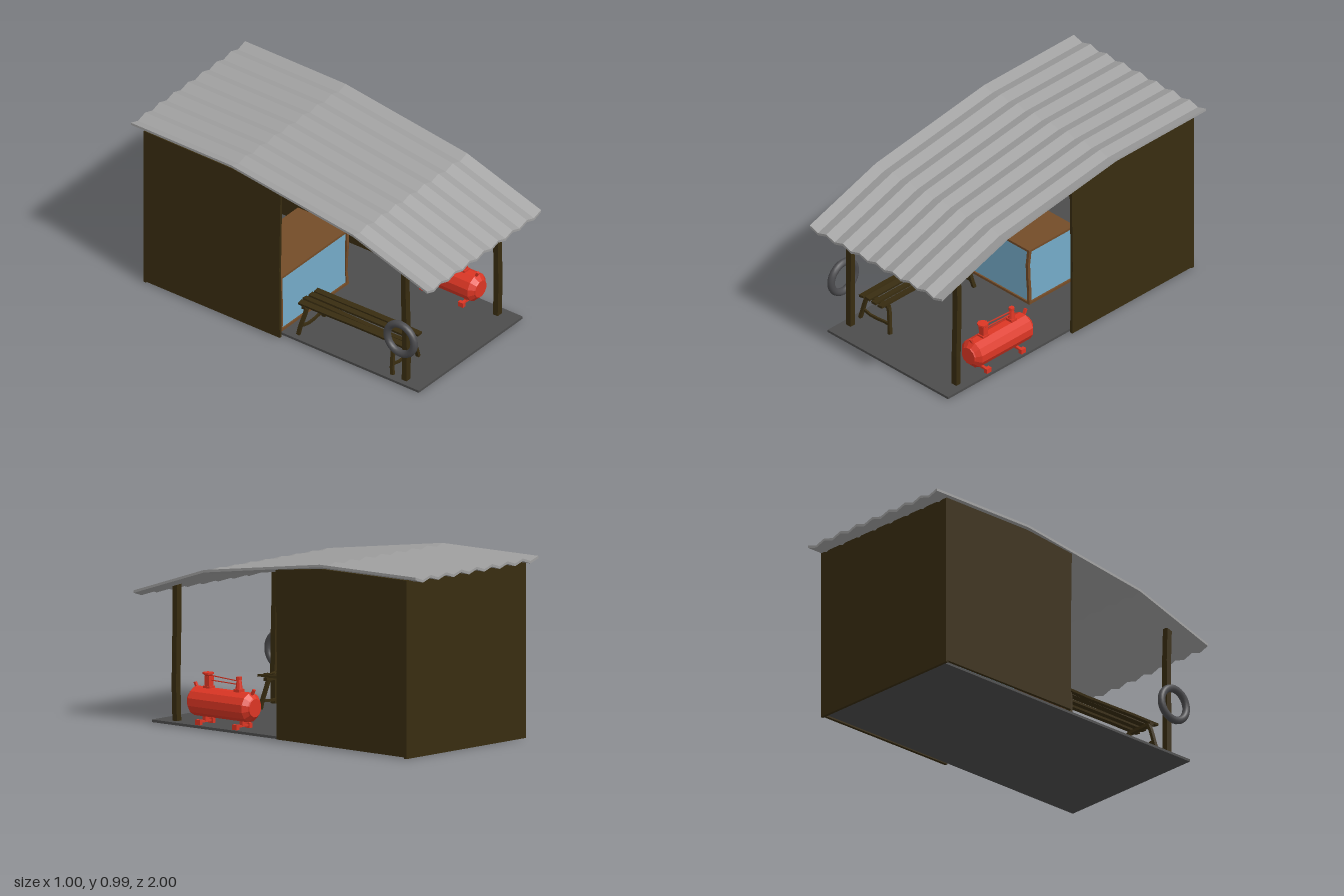
import * as THREE from 'three';

const mat = (name, color, flatShading = true) => {
  const m = new THREE.MeshStandardMaterial({ color, flatShading });
  m.name = name;
  return m;
};

export function createModel() {
  const root = new THREE.Group();
  root.name = 'roadsideShed';
  const metal = mat('corrugatedMetal', 0xa0a0a0);
  const concrete = mat('concrete', 0x4c4c4c);
  const darkWood = mat('darkWood', 0x382c10);
  const brownWood = mat('brownWood', 0x744c28);
  const glass = mat('glass', 0x74abc8);
  const red = mat('redPaint', 0xdc3624);
  const rubber = mat('rubber', 0x4b4b4e, false);

  const add = (name, geo, material, x = 0, y = 0, z = 0, parent = root) => {
    const m = new THREE.Mesh(geo, material);
    m.name = name;
    m.position.set(x, y, z);
    parent.add(m);
    return m;
  };
  // Box given by its limits on each axis
  const box = (name, material, [x0, x1], [y0, y1], [z0, z1], parent = root) =>
    add(name, new THREE.BoxGeometry(x1 - x0, y1 - y0, z1 - z0), material,
      (x0 + x1) / 2, (y0 + y1) / 2, (z0 + z1) / 2, parent);
  // Rough-hewn beam from a to b; the middle rings drift sideways by "wobble"
  const beam = (name, material, a, b, w, d, wobble = 0, parent = root) => {
    const A = new THREE.Vector3(...a), B = new THREE.Vector3(...b);
    const len = A.distanceTo(B);
    const geo = new THREE.BoxGeometry(w, len, d, 1, wobble ? 4 : 1, 1);
    const p = geo.attributes.position;
    for (let i = 0; i < p.count; i++) {
      const t = p.getY(i) / len + 0.5;
      p.setX(i, p.getX(i) + wobble * Math.sin(t * Math.PI));
      p.setZ(i, p.getZ(i) + wobble * 0.6 * Math.sin(t * Math.PI * 2));
    }
    const m = add(name, geo, material, 0, 0, 0, parent);
    m.position.copy(A).add(B).multiplyScalar(0.5);
    m.quaternion.setFromUnitVectors(new THREE.Vector3(0, 1, 0), B.sub(A).normalize());
    return m;
  };
  const group = (name) => {
    const g = new THREE.Group();
    g.name = name;
    root.add(g);
    return g;
  };

  // Corrugated roof: a zigzag slab section swept along four stations
  const stations = [[1, 0.718], [0.5, 0.88], [-0.32, 0.993], [-1, 0.993]];
  const folds = 16, thick = 0.014, tri = [];
  const pt = (s, i, low) => [-0.5 + i / folds,
    stations[s][1] - (i % 2 ? 0.02 : 0) - (low ? thick : 0), stations[s][0]];
  const quad = (a, b, c, d) => tri.push(...a, ...b, ...c, ...a, ...c, ...d);
  for (let s = 0; s < 3; s++) {
    for (let i = 0; i < folds; i++) {
      quad(pt(s, i), pt(s, i + 1), pt(s + 1, i + 1), pt(s + 1, i));
      quad(pt(s, i, 1), pt(s + 1, i, 1), pt(s + 1, i + 1, 1), pt(s, i + 1, 1));
    }
    quad(pt(s, 0, 1), pt(s, 0), pt(s + 1, 0), pt(s + 1, 0, 1));
    quad(pt(s, folds, 1), pt(s + 1, folds, 1), pt(s + 1, folds), pt(s, folds));
  }
  for (let i = 0; i < folds; i++) {
    quad(pt(0, i, 1), pt(0, i + 1, 1), pt(0, i + 1), pt(0, i));
    quad(pt(3, i, 1), pt(3, i), pt(3, i + 1), pt(3, i + 1, 1));
  }
  const roofGeo = new THREE.BufferGeometry();
  roofGeo.setAttribute('position', new THREE.Float32BufferAttribute(tri, 3));
  roofGeo.computeVertexNormals();
  add('roof', roofGeo, metal);

  // Floor slab and walls
  box('floor', concrete, [-0.455, 0.455], [0.008, 0.022], [-0.905, 0.91]);
  const side = new THREE.Shape();
  [[0, 0.012], [0.92, 0.008], [0.92, 0.967], [0.32, 0.967], [-0.004, 0.932], [0.004, 0.45]]
    .forEach(([x, y], i) => (i ? side.lineTo(x, y) : side.moveTo(x, y)));
  for (const [x, name] of [[-0.492, 'rightWall'], [0.47, 'leftWall']]) {
    const geo = new THREE.ExtrudeGeometry(side, { depth: 0.016, bevelEnabled: false });
    geo.rotateY(Math.PI / 2);
    add(name, geo, darkWood, x);
  }
  box('backWall', darkWood, [-0.49, 0.484], [0, 0.966], [-0.922, -0.906]);

  // Front posts
  beam('rightPost', darkWood, [-0.406, 0.02, 0.787], [-0.412, 0.765, 0.785], 0.036, 0.032, 0.004);
  beam('leftPost', darkWood, [0.393, 0.02, 0.787], [0.393, 0.765, 0.785], 0.036, 0.032, 0.005);

  // Tyre hanging beside the post
  const tyre = new THREE.TorusGeometry(0.091, 0.021, 12, 28);
  tyre.rotateY(Math.PI / 2);
  add('tyre', tyre, rubber, -0.457, 0.307, 0.79);

  // Display case: glass box in a rough wooden frame
  const shop = group('displayCase');
  box('glassPanes', glass, [-0.45, 0.13], [0.022, 0.362], [-0.355, -0.03], shop);
  box('caseTop', brownWood, [-0.46, 0.14], [0.358, 0.371], [-0.365, -0.02], shop);
  for (const z of [-0.356, -0.029]) {
    box('bottomRail', brownWood, [-0.46, 0.14], [0.022, 0.036], [z - 0.008, z + 0.008], shop);
    for (const [x, wob] of [[-0.45, 0.003], [0.132, -0.008]])
      beam('casePost', brownWood, [x, 0.022, z], [x, 0.36, z], 0.017, 0.017, wob, shop);
  }
  for (const x of [-0.452, 0.132])
    box('sideRail', brownWood, [x - 0.008, x + 0.008], [0.022, 0.036], [-0.356, -0.029], shop);

  // Bench: uneven slats on two splayed trestles
  const bench = group('bench');
  for (let i = 0; i < 4; i++) {
    const x = -0.372 + i * 0.047, tilt = [0.004, -0.003, 0.002, 0.003][i];
    beam('slat', darkWood, [x, 0.199, 0.04 + tilt], [x + tilt, 0.199, 0.74 + tilt],
      0.034, 0.013, tilt, bench).rotateY(tilt * 40);
  }
  for (const [z, out] of [[0.69, 0.012], [0.08, -0.014]]) {
    box('crossBeam', darkWood, [-0.39, -0.215], [0.174, 0.192], [z - 0.012, z + 0.012], bench);
    beam('innerLeg', darkWood, [-0.19, 0.022, z + out], [-0.227, 0.18, z - out], 0.017, 0.02, 0.003, bench);
    beam('outerLeg', darkWood, [-0.415, 0.022, z + out], [-0.378, 0.18, z - out], 0.017, 0.02, -0.003, bench);
    beam('brace', darkWood, [-0.395, 0.075, z], [-0.202, 0.07, z], 0.014, 0.012, 0.008, bench);
  }

  // Compressor tank: twelve-sided barrel lying along z
  const tank = group('compressor');
  const cx = 0.382, cy = 0.144;
  const barrel = new THREE.LatheGeometry(
    [[0, -0.222], [0.05, -0.222], [0.054, -0.216], [0.08, -0.192], [0.08, 0.192], [0.054, 0.216], [0.05, 0.222], [0, 0.222]]
      .map(([r, y]) => new THREE.Vector2(r, y)), 12);
  barrel.rotateX(Math.PI / 2);
  barrel.rotateZ(Math.PI / 12);
  add('barrel', barrel, red, cx, cy, 0.462);
  // Feet on both ends
  for (const z of [0.33, 0.592]) {
    box('footBar', red, [0.325, 0.445], [0.034, 0.046], [z - 0.008, z + 0.008], tank);
    box('footStem', red, [cx - 0.014, cx + 0.014], [0.04, 0.075], [z - 0.01, z + 0.01], tank);
    for (const x of [0.333, 0.438])
      box('footPad', red, [x - 0.011, x + 0.011], [0.024, 0.052], [z - 0.017, z + 0.017], tank);
  }
  // Lifting lugs at the rims
  for (const [z, lean] of [[0.652, 0.014], [0.262, -0.014]])
    beam('lug', red, [cx, 0.215, z], [cx, 0.243, z + lean], 0.016, 0.012, 0, tank);
  // Pump head with flange, valve tower and linking pipes
  box('pumpBase', red, [cx - 0.022, cx + 0.022], [0.215, 0.232], [0.545, 0.592], tank);
  box('pumpBody', red, [cx - 0.017, cx + 0.017], [0.23, 0.285], [0.552, 0.585], tank);
  box('pumpKnob', red, [cx - 0.027, cx - 0.01], [0.256, 0.28], [0.558, 0.58], tank);
  add('pumpNeck', new THREE.CylinderGeometry(0.026, 0.016, 0.014, 8), red, cx, 0.289, 0.574, tank);
  add('pumpFlange', new THREE.CylinderGeometry(0.031, 0.031, 0.01, 8), red, cx, 0.3, 0.574, tank);
  box('valveBase', red, [cx - 0.022, cx + 0.022], [0.215, 0.236], [0.335, 0.377], tank);
  add('valveTower', new THREE.CylinderGeometry(0.013, 0.02, 0.052, 8), red, cx, 0.26, 0.355, tank);
  add('valveCap', new THREE.CylinderGeometry(0.016, 0.016, 0.016, 8), red, cx, 0.294, 0.355, tank);
  beam('upperPipe', red, [cx, 0.29, 0.56], [cx, 0.278, 0.355], 0.005, 0.005, 0, tank);
  beam('lowerPipe', red, [cx, 0.264, 0.56], [cx, 0.26, 0.355], 0.005, 0.005, 0, tank);

  return root;
}
